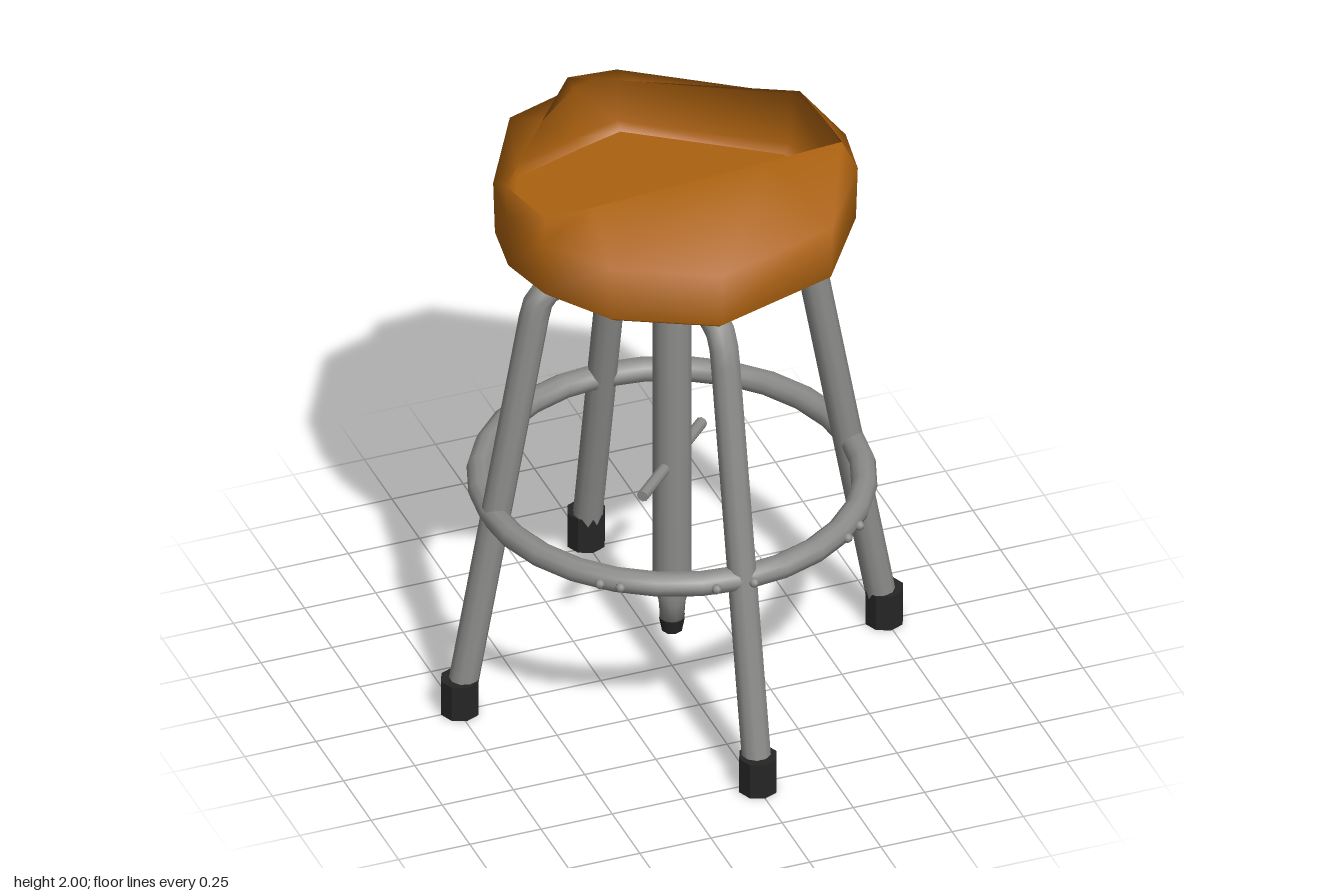
import * as THREE from 'three';

const material = (name, color, side = THREE.FrontSide) => {
  const m = new THREE.MeshStandardMaterial({ color, side });
  m.name = name;
  return m;
};

export function createModel() {
  const group = new THREE.Group();
  const leather = material('orange leather', 0xab610f, THREE.DoubleSide);
  const steel = material('grey steel', 0x8c8c8a);
  const rubber = material('black rubber', 0x262626);
  const add = (name, geometry, mat, x = 0, y = 0, z = 0) => {
    const mesh = new THREE.Mesh(geometry, mat);
    mesh.name = name;
    mesh.position.set(x, y, z);
    group.add(mesh);
    return mesh;
  };

  // Cushion: irregular outline, and the rim of its open top
  const outline = [[.61, 0], [.575, .2], [.37, .5], [-.07, .64], [-.4, .47], [-.55, .25],
    [-.6, .05], [-.57, -.15], [-.38, -.49], [-.12, -.58], [.05, -.63], [.53, -.29]];
  const rim = [[.545, -.02], [.55, .12], [.3, .14], [-.05, .165], [-.35, .188], [-.52, .2],
    [-.57, -.03], [-.5, -.12], [-.32, -.35], [-.15, -.56], [.05, -.457], [.53, -.21]];
  const scaled = (s, y) => outline.map(([x, z]) => [x * s, y, z * s]);
  const rings = [scaled(.94, 1.72), scaled(.99, 1.745), scaled(1, 1.94),
    rim.map(([x, z]) => [x, 2, z])];
  const n = outline.length;
  const index = [];
  for (let r = 0; r < rings.length - 1; r++) {
    for (let i = 0; i < n; i++) {
      const a = r * n + i, b = r * n + (i + 1) % n;
      index.push(a, a + n, b, b, a + n, b + n);
    }
  }
  const shell = new THREE.BufferGeometry();
  shell.setAttribute('position', new THREE.Float32BufferAttribute(rings.flat(2), 3));
  shell.setIndex(index);
  shell.computeVertexNormals();
  add('cushion', shell, leather);

  // Flat base of the cushion
  const base = new THREE.Shape(outline.map(([x, z]) => new THREE.Vector2(x * .94, z * .94)));
  add('cushionBase', new THREE.ShapeGeometry(base).rotateX(Math.PI / 2), leather, 0, 1.72);

  // Mounting plate with clipped front corners, pushed through the base
  const plate = new THREE.Shape([[-.22, -.15], [.22, -.15], [.22, .11], [.13, .2], [-.13, .2], [-.22, .11]]
    .map(([x, z]) => new THREE.Vector2(x, z)));
  const plateTop = new THREE.ExtrudeGeometry(plate, { depth: .04, bevelEnabled: false });
  plateTop.rotateX(Math.PI / 2);
  // Leave the plate open below so the cushion base covers it
  const p = plateTop.getAttribute('position');
  const kept = [];
  for (let i = 0; i < p.count; i += 3) {
    const low = [0, 1, 2].every((k) => p.getY(i + k) < -.039);
    if (!low) kept.push(i, i + 1, i + 2);
  }
  plateTop.clearGroups();
  plateTop.setIndex(kept);
  add('mountingPlate', plateTop, steel, 0, 1.73);
  add('plateCrossbar', new THREE.BoxGeometry(.26, .006, .09), steel, 0, 1.732);
  add('plateSpine', new THREE.BoxGeometry(.08, .008, .26), steel, 0, 1.732);
  for (const z of [-.142, .145]) {
    add('plateSlot', new THREE.BoxGeometry(.08, .008, .03), rubber, 0, 1.732, z);
  }

  // Swivel collar and centre column
  add('swivelCollar', new THREE.CylinderGeometry(.04, .05, .07, 10), rubber, 0, 1.66);
  const profile = [[0, .19], [.04, .19], [.045, .26], [.065, .33], [.065, 1.6], [.05, 1.63], [0, 1.63]];
  add('centreColumn', new THREE.LatheGeometry(profile.map(([x, y]) => new THREE.Vector2(x, y)), 12), steel);
  add('columnTip', new THREE.CylinderGeometry(.045, .035, .05, 8), rubber, 0, .17);

  // Four bent tube legs with rubber feet
  for (let i = 0; i < 4; i++) {
    const reach = i % 2 ? .775 : .74;
    const v = (x, y) => new THREE.Vector3(x, y, 0);
    const path = new THREE.CurvePath();
    path.add(new THREE.LineCurve3(v(0, 1.635), v(.4, 1.595)));
    path.add(new THREE.QuadraticBezierCurve3(v(.4, 1.595), v(.465, 1.59), v(.482, 1.5)));
    path.add(new THREE.LineCurve3(v(.482, 1.5), v(reach, .07)));
    const leg = new THREE.Group();
    leg.name = 'leg';
    leg.rotation.y = i * Math.PI / 2;
    const tube = new THREE.Mesh(new THREE.TubeGeometry(path, 36, .05, 10), steel);
    tube.name = 'legTube';
    const capGeometry = new THREE.CylinderGeometry(.066, .066, .13, 8).toNonIndexed();
    capGeometry.computeVertexNormals();
    const cap = new THREE.Mesh(capGeometry, rubber);
    cap.name = 'footCap';
    cap.position.set(reach + .005, .065, 0);
    leg.add(tube, cap);
    group.add(leg);
  }

  // Foot ring with small rivets at the front
  const ring = new THREE.TorusGeometry(.63, .043, 10, 28).rotateX(Math.PI / 2);
  add('footRing', ring, steel, 0, .743).scale.z = 1.02;
  for (const degrees of [-42, -36, -9, 2, 37, 44]) {
    const a = degrees * Math.PI / 180;
    add('rivet', new THREE.SphereGeometry(.017, 8, 6), steel, Math.sin(a) * .673, .743, Math.cos(a) * .685);
  }

  // Diagonal handle through the column
  const handle = new THREE.CylinderGeometry(.02, .02, .48, 8).rotateZ(Math.PI / 2);
  add('heightHandle', handle, steel, 0, .81).rotation.y = Math.PI / 4;
  return group;
}
